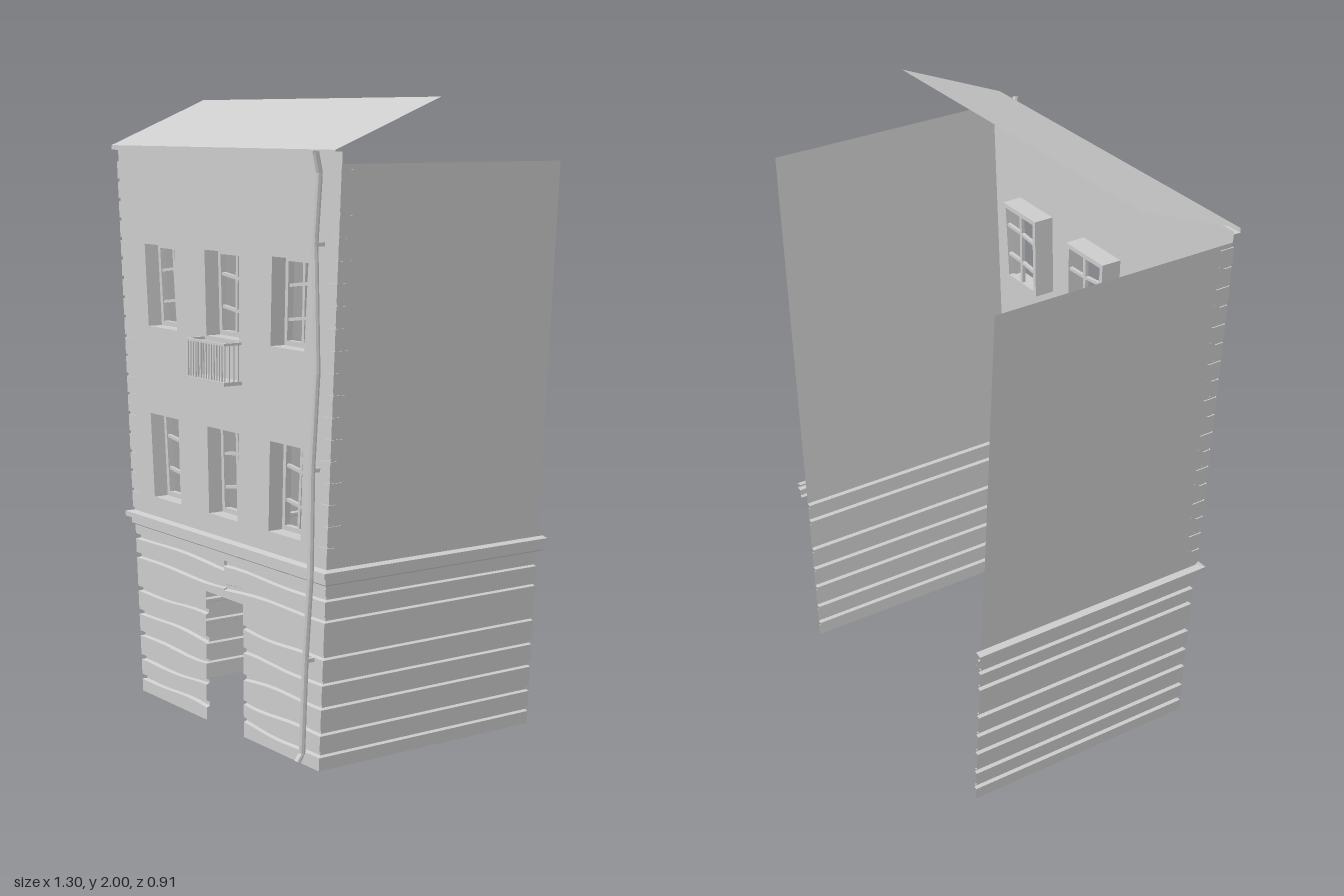
import * as THREE from 'three';

const FRONT = 0.39, BACK = -0.435;
const mat = new THREE.MeshStandardMaterial({ color: 0xcccccc, flatShading: true, side: THREE.DoubleSide });
const half = (y) => 0.52 + 0.064 * y; // the house widens towards the top
const V = (x, y, z) => new THREE.Vector3(x, y, z);

function add(parent, geometry, name) {
  const m = new THREE.Mesh(geometry, mat);
  m.name = name;
  parent.add(m);
  return m;
}

// Sheet through rows of points, all rows the same length
function sheet(rows, flip = false) {
  const pos = [];
  for (let r = 0; r + 1 < rows.length; r++) {
    for (let k = 0; k + 1 < rows[r].length; k++) {
      const a = rows[r][k], b = rows[r][k + 1], c = rows[r + 1][k + 1], d = rows[r + 1][k];
      for (const p of flip ? [a, c, b, a, d, c] : [a, b, c, a, c, d]) pos.push(p.x, p.y, p.z);
    }
  }
  const g = new THREE.BufferGeometry();
  g.setAttribute('position', new THREE.Float32BufferAttribute(pos, 3));
  g.computeVertexNormals();
  return g;
}

// Profile of [offset, y, wave] swept along half the front, round the corner and down the side
function band(profile, startX, endZ, side, n = 1) {
  const rows = profile.map(([o, y, wave = 0]) => {
    const corner = half(y) + o, x0 = startX(y), row = [];
    for (let k = 0; k <= n; k++) {
      const t = k / n;
      const dy = wave * (1 - t) * Math.sin(t * 5 + y * 23 + side);
      row.push(V(side * (x0 + (corner - x0) * t), y + dy, FRONT + o));
    }
    row.push(V(side * corner, y, endZ));
    return row;
  });
  return sheet(rows, side < 0);
}

// Square bar between two points
function bar(parent, a, b, w, d, name) {
  const dir = b.clone().sub(a);
  const m = add(parent, new THREE.BoxGeometry(w, dir.length(), d), name);
  m.position.copy(a).add(b).multiplyScalar(0.5);
  m.quaternion.setFromUnitVectors(V(0, 1, 0), dir.normalize());
  return m;
}

function grooved(y0, y1, grooves) {
  const p = [[0, y0]];
  for (const y of grooves) {
    p.push([0, y - 0.009, 0.009], [-0.012, y - 0.005, 0.009], [-0.012, y + 0.005, 0.009], [0, y + 0.009, 0.009]);
  }
  p.push([0, y1]);
  return p;
}

// Window corners: top left, top right, bottom right, bottom left
function quad(yTop, yBottom, tl, tr, br, bl) {
  return [[tl, yTop], [tr, yTop], [br, yBottom], [bl, yBottom]];
}
const windows = [
  quad(1.53, 1.26, -0.47, -0.28, -0.27, -0.45),
  quad(1.53, 1.26, -0.1, 0.1, 0.095, -0.092),
  quad(1.53, 1.26, 0.28, 0.47, 0.447, 0.27),
  quad(0.97, 0.69, -0.445, -0.265, -0.255, -0.425),
  quad(0.97, 0.69, -0.092, 0.092, 0.082, -0.085),
  quad(0.97, 0.69, 0.265, 0.44, 0.427, 0.255),
];
const outline = (Type, pts) => new Type(pts.map(([x, y]) => new THREE.Vector2(x, y)));

function buildWindow(q, i) {
  const g = new THREE.Group();
  g.name = 'window';
  const depth = 0.07, zf = FRONT - depth;
  // reveal running back from the wall
  const loop = [...q, q[0]];
  add(g, sheet([loop.map(([x, y]) => V(x, y, FRONT)), loop.map(([x, y]) => V(x, y, zf))]), 'windowReveal');
  // frame
  const cx = q.reduce((s, p) => s + p[0], 0) / 4, cy = (q[0][1] + q[2][1]) / 2;
  const inner = q.map(([x, y]) => [x - 0.015 * Math.sign(x - cx), y - 0.015 * Math.sign(y - cy)]);
  const shape = outline(THREE.Shape, q);
  shape.holes.push(outline(THREE.Path, inner));
  add(g, new THREE.ExtrudeGeometry(shape, { depth: 0.02, bevelEnabled: false }), 'windowFrame').position.z = zf;
  // crooked glazing bars
  const at = (u, v) => {
    const mix = (a, b, t) => a + (b - a) * t;
    return V(mix(mix(inner[3][0], inner[2][0], u), mix(inner[0][0], inner[1][0], u), v),
      mix(inner[3][1], inner[0][1], v), zf + 0.01);
  };
  const tilt = i % 2 ? -0.025 : 0.025;
  bar(g, at(0.5 + tilt, 0), at(0.5 - tilt, 1), 0.012, 0.012, 'glazingBar');
  for (const v of [0.29, 0.72]) {
    bar(g, at(0, v - tilt), at(0.5, v + tilt * 0.6), 0.01, 0.012, 'glazingBar');
    bar(g, at(0.5, v + tilt * 0.6), at(1, v + tilt), 0.01, 0.012, 'glazingBar');
  }
  return g;
}

function buildBalcony() {
  const g = new THREE.Group();
  g.name = 'balcony';
  const w = 0.106, z = 0.45, y0 = 1.13, y1 = 1.252;
  const floor = add(g, new THREE.BoxGeometry(0.224, 0.012, 0.066), 'balconyFloor');
  floor.position.set(0, y0, 0.423);
  bar(g, V(-w - 0.004, y1, z), V(w + 0.004, y1, z), 0.008, 0.008, 'balconyRail');
  for (const s of [-1, 1]) {
    bar(g, V(s * w, y1, FRONT), V(s * w, y1, z), 0.008, 0.008, 'balconyRail');
    for (let i = 0; i < 4; i++) {
      const zz = 0.4 + i * 0.0165;
      bar(g, V(s * w, y0, zz), V(s * w, y1, zz), 0.004, 0.004, 'baluster');
    }
  }
  for (let i = 1; i < 14; i++) {
    const x = -w + (2 * w * i) / 14;
    bar(g, V(x, y0, z), V(x, y1, z), 0.004, 0.004, 'baluster');
  }
  return g;
}

export function createModel() {
  const house = new THREE.Group();
  house.name = 'townHouse';

  // upper front wall with window openings
  const wall = outline(THREE.Shape, [[-half(0.6), 0.6], [half(0.6), 0.6], [half(1.845), 1.845], [-half(1.845), 1.845]]);
  for (const q of windows) wall.holes.push(outline(THREE.Path, q));
  add(house, new THREE.ShapeGeometry(wall), 'upperFrontWall').position.z = FRONT;
  windows.forEach((q, i) => house.add(buildWindow(q, i)));

  for (const s of [-1, 1]) {
    // grooved ground floor, split at the top of the doorway
    add(house, band(grooved(0, 0.43, [0.05, 0.118, 0.2, 0.275, 0.355]), () => 0.11, BACK, s, 10), 'groundFloorWall');
    add(house, band(grooved(0.43, 0.6, [0.47, 0.535]), () => 0, BACK, s, 10), 'groundFloorWall');
    // ledge between the floors
    const ledge = [[0, 0.575], [0.008, 0.58], [0.008, 0.6], [0.023, 0.603], [0.023, 0.62], [0, 0.625]];
    add(house, band(ledge, () => 0, -0.455, s), 'ledge');
    // upper side wall
    add(house, sheet([0.6, 1.81].map((y) => [V(s * half(y), y, FRONT), V(s * half(y), y, BACK)]), s < 0), 'upperSideWall');
    // corner stones, alternately long and short
    for (let i = 0; i < 18; i++) {
      const y0 = 0.635 + i * 0.065, y1 = y0 + 0.055, long = i % 2 === 0;
      const profile = [[0, y0], [0.004, y0], [0.004, y1], [0, y1]];
      add(house, band(profile, (y) => half(y) - (long ? 0.045 : 0.025), FRONT - (long ? 0.025 : 0.045), s), 'cornerStone');
    }
  }

  // sloping roof sheet with its eave
  const roof = [[0.635, 1.835, FRONT], [0.637, 1.835, 0.415], [0.637, 1.85, 0.415], [0.65, 2, 0.045]];
  add(house, sheet(roof.map(([x, y, z]) => [V(-x, y, z), V(x, y, z)])), 'roof');

  house.add(buildBalcony());

  // bent drainpipe and its wall brackets
  const path = new THREE.CurvePath();
  const pts = [[0.577, 1.845, 0.44], [0.57, 1.785, 0.422], [0.545, 1.58, 0.42], [0.555, 1.21, 0.42], [0.528, 0.92, 0.42],
    [0.52, 0.6, 0.42], [0.493, 0.34, 0.42], [0.475, 0.05, 0.42], [0.472, 0.025, 0.435]].map((p) => V(...p));
  for (let i = 0; i + 1 < pts.length; i++) path.add(new THREE.LineCurve3(pts[i], pts[i + 1]));
  add(house, new THREE.TubeGeometry(path, 60, 0.01, 8, false), 'drainpipe');
  for (const i of [2, 4, 6]) {
    const p = pts[i];
    bar(house, V(p.x, p.y, FRONT), V(p.x, p.y, 0.42), 0.012, 0.012, 'pipeBracket');
  }
  return house;
}
